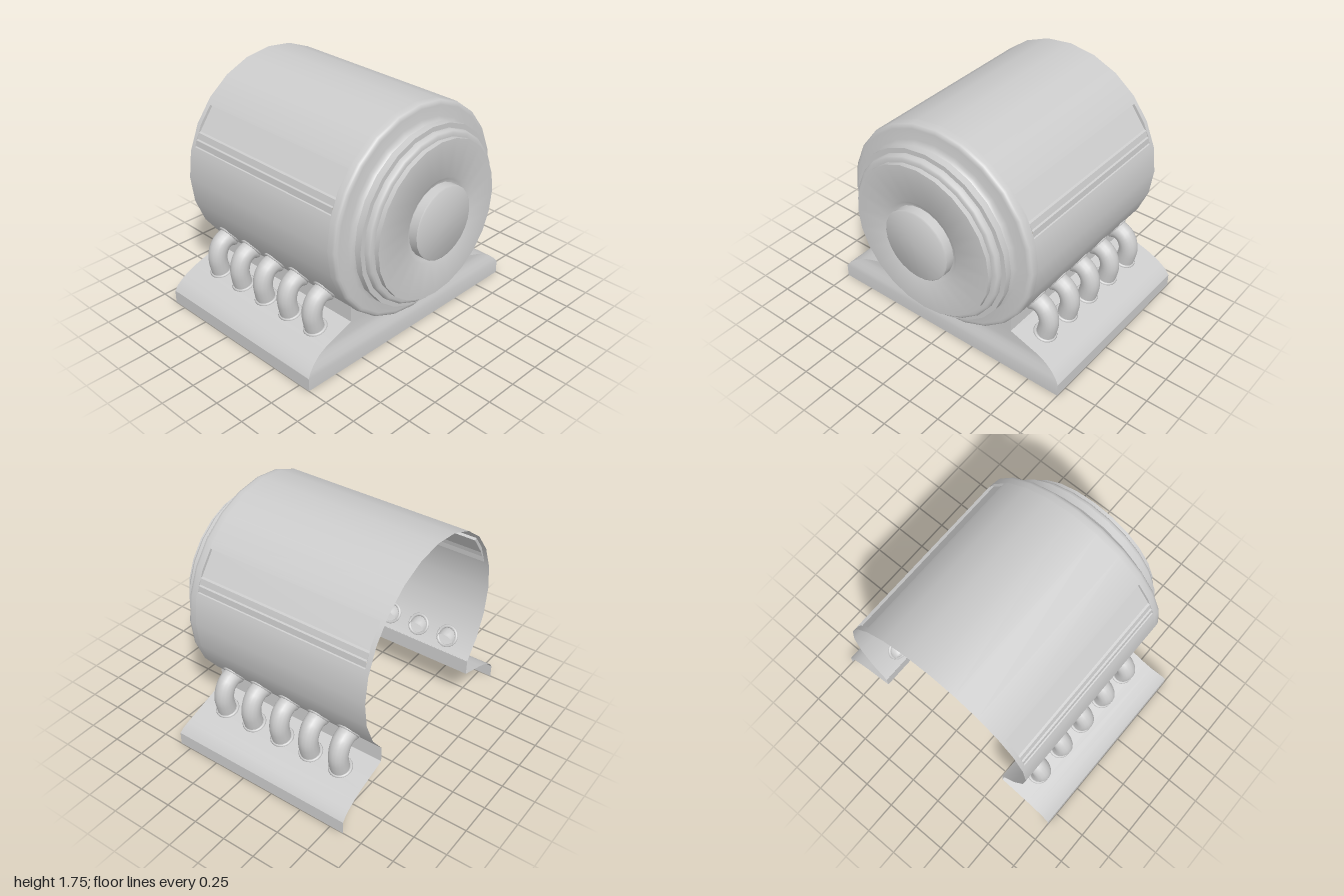
import * as THREE from 'three';
import { toCreasedNormals } from 'three/addons/utils/BufferGeometryUtils.js';

const material = new THREE.MeshStandardMaterial({ color: 0xcccccc, side: THREE.DoubleSide });
const AXIS_Y = 0.97, R = 0.78, SIDES = 24, BACK = -0.855, RIM = 0.55;
const PANEL = { x0: -0.82, x1: 0.545, low: 17.9, high: 41.3 };
const CUT = -43.6; // angle where the open-bottomed shell meets the base

function add(parent, name, geometry) {
  const mesh = new THREE.Mesh(geometry, material);
  mesh.name = name;
  parent.add(mesh);
  return mesh;
}

// Ruled surface between two rows of points
function ribbon(a, b, crease = 0.5) {
  const pos = [], index = [];
  a.forEach((p, i) => pos.push(...p, ...b[i]));
  for (let i = 0; i < a.length - 1; i++) {
    const k = 2 * i;
    index.push(k, k + 1, k + 2, k + 1, k + 3, k + 2);
  }
  const g = new THREE.BufferGeometry();
  g.setAttribute('position', new THREE.Float32BufferAttribute(pos, 3));
  g.setIndex(index);
  return toCreasedNormals(g, crease);
}

// Point [z, y] on the many-sided drum at an angle in degrees from +z
function onDrum(deg) {
  const step = 360 / SIDES;
  const off = deg - (Math.floor(deg / step) + 0.5) * step;
  const r = R * Math.cos(Math.PI / SIDES) / Math.cos(THREE.MathUtils.degToRad(off));
  const t = THREE.MathUtils.degToRad(deg);
  return [r * Math.cos(t), AXIS_Y + r * Math.sin(t)];
}

function arc(from, to) {
  const step = 360 / SIDES, pts = [onDrum(from)];
  for (let d = Math.ceil(from / step) * step; d < to; d += step) if (d > from) pts.push(onDrum(d));
  pts.push(onDrum(to));
  return pts;
}

// Piece of drum wall with radial normals, so neighbouring pieces blend
function wall(parent, from, to, x0, x1) {
  const pts = arc(from, to);
  const g = ribbon(pts.map(([z, y]) => [x1, y, z]), pts.map(([z, y]) => [x0, y, z]));
  const p = g.attributes.position, n = g.attributes.normal;
  for (let i = 0; i < p.count; i++) {
    const v = new THREE.Vector3(0, p.getY(i) - AXIS_Y, p.getZ(i)).normalize();
    n.setXYZ(i, v.x, v.y, v.z);
  }
  add(parent, 'drumWall', g);
}

function buildDrum() {
  const drum = new THREE.Group();
  drum.name = 'drum';
  const { x0, x1, low, high } = PANEL;
  wall(drum, high, 180 - high, BACK, RIM);
  for (const [a, b] of [[low, high], [180 - high, 180 - low]]) {
    wall(drum, a, b, BACK, x0);
    wall(drum, a, b, x1, RIM);
  }
  wall(drum, CUT, low, BACK, RIM);
  wall(drum, 180 - low, 180 - CUT, BACK, RIM);

  // Rounded rim, flange and stepped end cap: [radius, x]
  const profile = [
    [0.78, RIM], [0.78, 0.59], [0.775, 0.607], [0.762, 0.617], [0.745, 0.62],
    [0.67, 0.622], [0.645, 0.63], [0.628, 0.645], [0.62, 0.67],
    [0.655, 0.67], [0.655, 0.72], [0.62, 0.72], [0.62, 0.745], [0.613, 0.758], [0.6, 0.765],
    [0.575, 0.765], [0.575, 0.8], [0.31, 0.8], [0.29, 0.785], [0.268, 0.78],
    [0.268, 0.845], [0.258, 0.852], [0, 0.852],
  ].map(([r, x]) => new THREE.Vector2(r, x));
  const cap = add(drum, 'endCap', toCreasedNormals(new THREE.LatheGeometry(profile, SIDES), 0.7));
  cap.rotation.z = -Math.PI / 2;
  cap.position.y = AXIS_Y;
  return drum;
}

// Recessed side panel with shallow louvre steps
function buildPanel(side) {
  const panel = new THREE.Group();
  panel.name = side > 0 ? 'frontPanel' : 'rearPanel';
  const { x0, x1, low, high } = PANEL;
  const top = onDrum(high), bottom = onDrum(low);
  const steps = [top, [0.563, 1.472], [0.682, 1.312], [0.698, 1.306], [0.711, 1.262], [0.724, 1.257], [0.729, 1.212], bottom];
  add(panel, 'louvres', ribbon(steps.map(([z, y]) => [x0, y, side * z]), steps.map(([z, y]) => [x1, y, side * z]), 0.2));
  // Closed ends of the recess
  const outline = [...steps, ...arc(low, high).slice(1, -1)].map(([z, y]) => new THREE.Vector2(side * z, y));
  for (const x of [x0, x1]) {
    const end = add(panel, 'panelEnd', new THREE.ShapeGeometry(new THREE.Shape(outline)));
    end.rotation.y = -Math.PI / 2;
    end.position.x = x;
  }
  return panel;
}

// Base: sloped skirts on both sides joined by a front plate, open underneath and behind
function buildBase() {
  const base = new THREE.Group();
  base.name = 'base';
  // Rows are [z, y, x of the front edge]
  const rows = [
    [1, 0, 0.59], [1, 0.1, 0.59], [0.975, 0.135, 0.581], [0.93, 0.172, 0.568], [0.87, 0.207, 0.556],
    [0.8, 0.237, 0.551], [0.565, 0.315, RIM], [0.565, 0.437, RIM],
  ];
  for (const s of [1, -1]) {
    const edge = rows.map(([z, y, x]) => [x, y, s * z]);
    const back = rows.map(([z, y]) => [BACK, y, s * z]);
    add(base, 'skirt', s > 0 ? ribbon(back, edge) : ribbon(edge, back));
  }
  add(base, 'frontPlate', ribbon(rows.map(([z, y, x]) => [x, y, z]), rows.map(([z, y, x]) => [x, y, -z])));
  return base;
}

// Bent pipe from the drum into the skirt, with a collar at each end
function buildPipe(x, side) {
  const pipe = new THREE.Group();
  pipe.name = 'pipe';
  const path = [[0.6, 0.5], [0.655, 0.512], [0.71, 0.487], [0.742, 0.435], [0.752, 0.375], [0.742, 0.31], [0.727, 0.25]]
    .map(([z, y]) => new THREE.Vector3(0, y, side * z));
  add(pipe, 'bentTube', new THREE.TubeGeometry(new THREE.CatmullRomCurve3(path), 16, 0.07, 16));
  for (const [z, y, nz, ny] of [[0.635, 0.527, 0.82, -0.57], [0.725, 0.262, 0.31, 0.95]]) {
    const collar = add(pipe, 'collar', new THREE.TorusGeometry(0.074, 0.013, 6, 20));
    collar.position.set(0, y, side * z);
    collar.quaternion.setFromUnitVectors(new THREE.Vector3(0, 0, 1), new THREE.Vector3(0, ny, side * nz).normalize());
  }
  pipe.position.x = x;
  return pipe;
}

export function createModel() {
  const model = new THREE.Group();
  model.name = 'drumMachine';
  model.add(buildDrum(), buildBase());
  for (const side of [1, -1]) {
    model.add(buildPanel(side));
    for (let i = 0; i < 5; i++) model.add(buildPipe(-0.635 + 0.25 * i, side));
  }
  return model;
}
